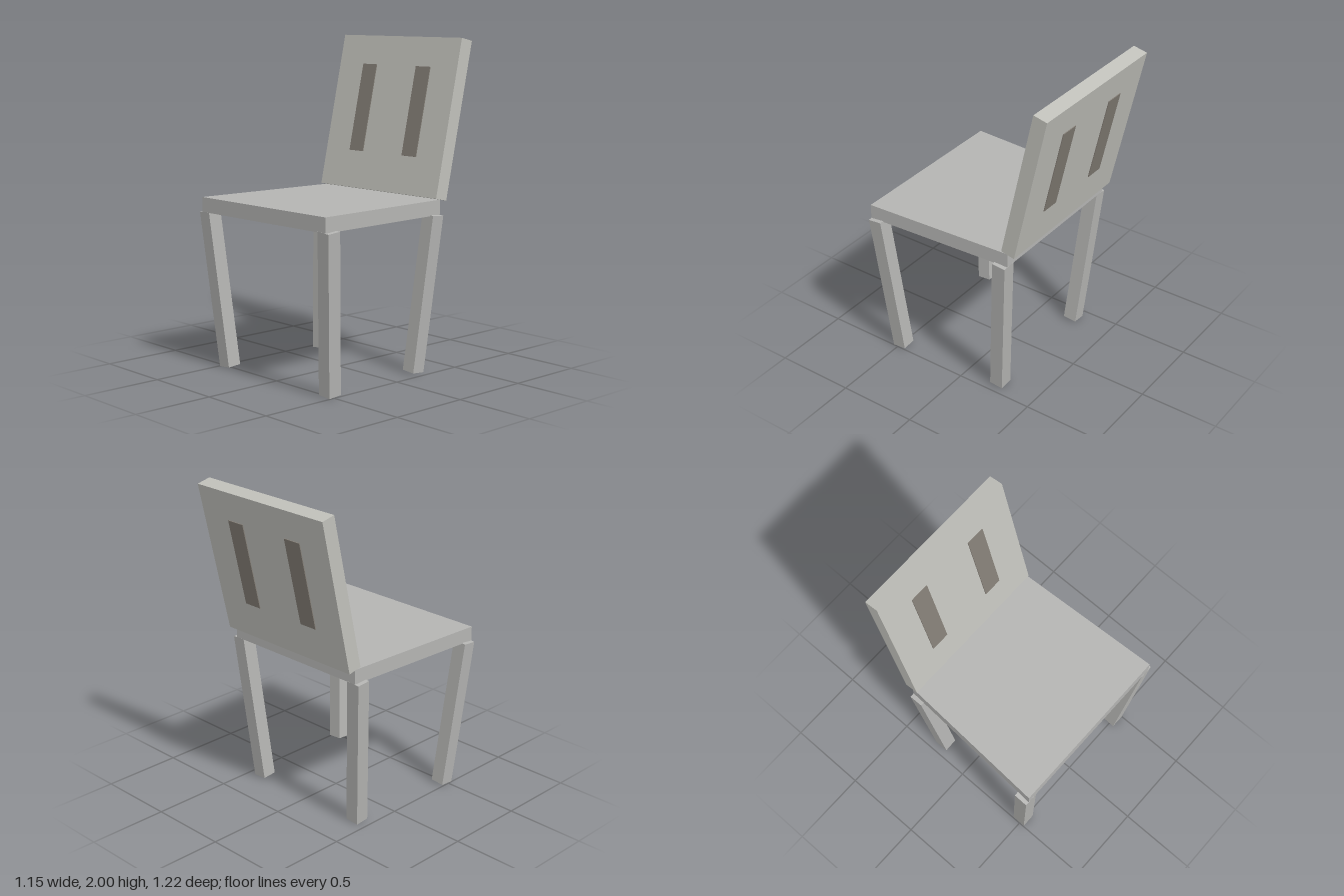
import * as THREE from 'three';

const paint = (name, color) => {
  const m = new THREE.MeshStandardMaterial({ color });
  m.name = name;
  return m;
};

export function createModel() {
  const chair = new THREE.Group();
  chair.name = 'chair';
  const grey = paint('grey', 0xb4b4b2);
  const paleGrey = paint('pale grey', 0xc0c0ba);
  const brownGrey = paint('brown grey', 0x827c74);

  const add = (parent, name, geometry, material) => {
    const mesh = new THREE.Mesh(geometry, material);
    mesh.name = name;
    parent.add(mesh);
    return mesh;
  };

  // Seat: a board wider at the front
  const outline = new THREE.Shape([
    new THREE.Vector2(-0.55, -0.61), new THREE.Vector2(0.55, -0.61),
    new THREE.Vector2(0.5, 0.353), new THREE.Vector2(-0.5, 0.353),
  ]);
  const seatGeometry = new THREE.ExtrudeGeometry(outline, { depth: 0.09, bevelEnabled: false });
  seatGeometry.rotateX(-Math.PI / 2);
  add(chair, 'seat', seatGeometry, grey).position.y = 0.96;

  // Legs: square posts splayed outwards towards the top
  const legGeometry = new THREE.BoxGeometry(0.088, 0.96, 0.088);
  for (const side of [1, -1]) {
    const word = side > 0 ? 'left' : 'right';
    const front = add(chair, word + 'FrontLeg', legGeometry, grey);
    front.position.set(side * 0.491, 0.487, 0.528);
    front.rotation.set(0.081, 0, -side * 0.081);
    const back = add(chair, word + 'BackLeg', legGeometry, grey);
    back.position.set(side * 0.445, 0.487, -0.271);
    back.rotation.set(-0.081, 0, -side * 0.081);
  }

  // Backrest leaning back, with two inlaid bars showing on both faces
  const backrest = new THREE.Group();
  backrest.name = 'backrest';
  backrest.position.set(0, 1.52, -0.4625);
  backrest.rotation.x = -0.219;
  chair.add(backrest);
  add(backrest, 'backPanel', new THREE.BoxGeometry(1.01, 0.964, 0.09), paleGrey);
  const barGeometry = new THREE.BoxGeometry(0.12, 0.55, 0.1);
  for (const side of [1, -1]) {
    add(backrest, side > 0 ? 'leftBar' : 'rightBar', barGeometry, brownGrey)
      .position.set(side * 0.23, 0.025, 0);
  }
  return chair;
}
